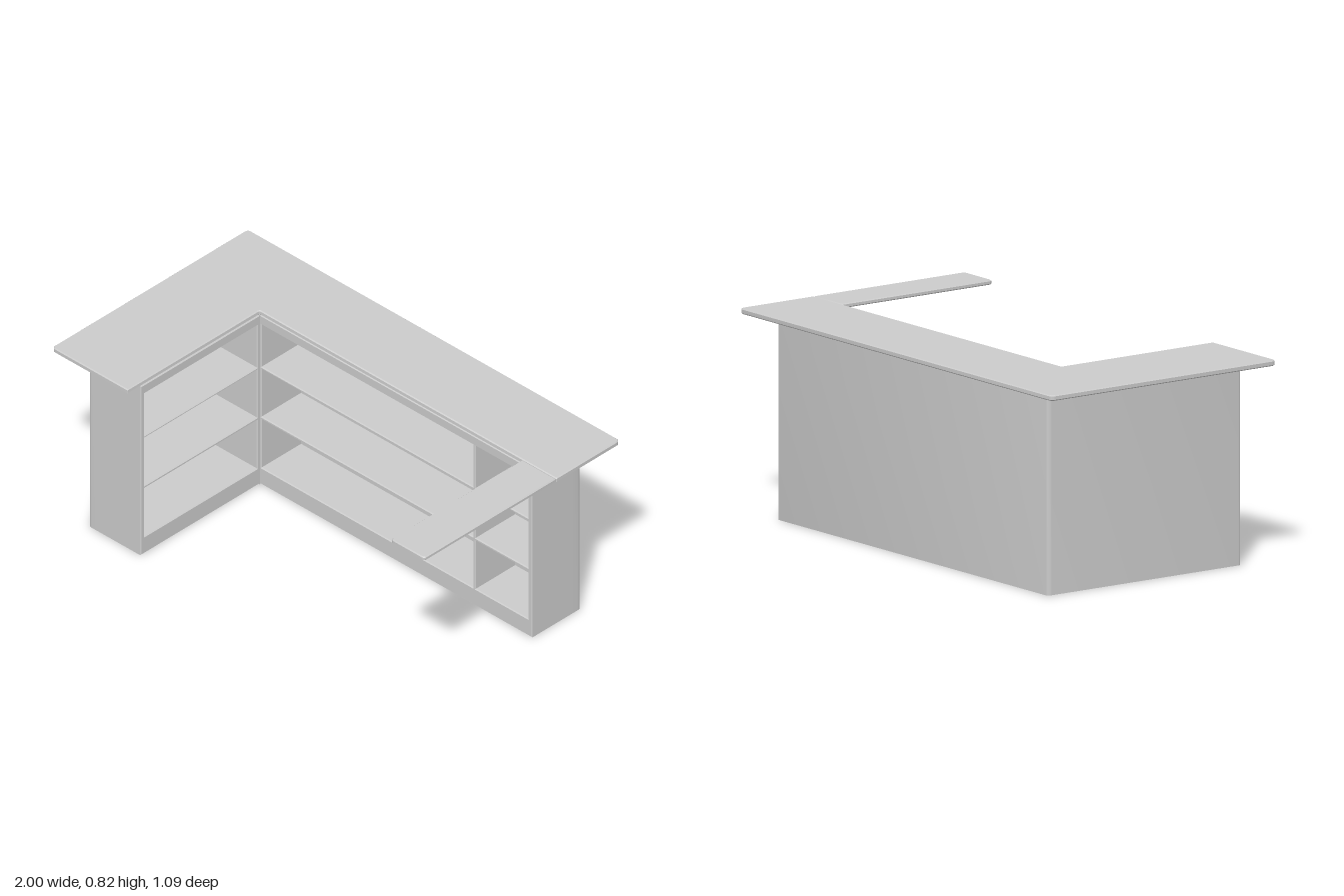
import * as THREE from 'three';
import { toCreasedNormals } from 'three/addons/utils/BufferGeometryUtils.js';

const material = new THREE.MeshStandardMaterial({ color: 0xcccccc });
const ROWS = [[0.08, 0.308], [0.322, 0.547], [0.559, 0.758]]; // shelf openings, bottom to top
const BODY_TOP = 0.802;

// Plan outline from [x, z, cornerRadius] points
function planShape(points) {
  const shape = new THREE.Shape();
  const v = points.map(([x, z]) => new THREE.Vector2(x, -z));
  const n = v.length;
  points.forEach(([, , r = 0], i) => {
    const toward = (other) => v[i].clone().add(other.clone().sub(v[i]).setLength(r));
    const a = r ? toward(v[(i + n - 1) % n]) : v[i];
    const b = r ? toward(v[(i + 1) % n]) : v[i];
    if (i === 0) shape.moveTo(a.x, a.y);
    else shape.lineTo(a.x, a.y);
    if (r) shape.quadraticCurveTo(v[i].x, v[i].y, b.x, b.y);
  });
  shape.closePath();
  return shape;
}

// Extrudes from 'from' to 'to' with a small inward chamfer
function extrude(shape, from, to, bevel) {
  const geometry = new THREE.ExtrudeGeometry(shape, {
    depth: to - from - 2 * bevel,
    bevelEnabled: bevel > 0,
    bevelThickness: bevel,
    bevelSize: bevel,
    bevelOffset: -bevel,
    bevelSegments: 1,
    curveSegments: 5,
  });
  return geometry.translate(0, 0, from + bevel);
}

function slab(name, points, y0, y1, bevel) {
  const geometry = extrude(planShape(points), y0, y1, bevel).rotateX(-Math.PI / 2);
  const mesh = new THREE.Mesh(toCreasedNormals(geometry, 0.5), material);
  mesh.name = name;
  return mesh;
}

// Block of shelves: a face u0..u1 wide with open bays, extruded over its depth
function shelfBlock(u0, u1, bays, from, to) {
  const face = new THREE.Shape();
  face.moveTo(u0, 0).lineTo(u1, 0).lineTo(u1, BODY_TOP).lineTo(u0, BODY_TOP).closePath();
  for (const [a, b] of bays) {
    for (const [y0, y1] of ROWS) {
      const hole = new THREE.Path();
      hole.moveTo(a, y0).lineTo(a, y1).lineTo(b, y1).lineTo(b, y0).closePath();
      face.holes.push(hole);
    }
  }
  return extrude(face, from, to, 0.004);
}

export function createModel() {
  const group = new THREE.Group();
  group.name = 'barCounter';

  // Back and outer walls, with the solid inner corner
  group.add(slab('outerWalls', [
    [-0.87, -0.465, 0.02], [0.87, -0.465, 0.02], [0.87, -0.41], [-0.59, -0.41],
    [-0.59, -0.185], [-0.82, -0.185], [-0.82, 0.47], [-0.87, 0.47, 0.015],
  ], 0, BODY_TOP, 0));

  // Long run of shelves, facing the front
  const run = new THREE.Mesh(
    shelfBlock(-0.595, 0.87, [[-0.583, 0.553], [0.567, 0.848]], -0.414, -0.19), material);
  run.name = 'longShelves';
  group.add(run);

  // Side wing of shelves, facing inward
  const wing = new THREE.Mesh(
    shelfBlock(-0.47, 0.19, [[-0.449, 0.175]], -0.824, -0.59).rotateY(Math.PI / 2), material);
  wing.name = 'wingShelves';
  group.add(wing);

  // L-shaped worktop
  group.add(slab('countertop', [
    [-1, -0.545, 0.02], [1, -0.545, 0.02], [1, -0.191, 0.006], [-0.594, -0.191, 0.01],
    [-0.594, 0.54, 0.004], [-1, 0.54, 0.02],
  ], 0.8, 0.822, 0.004));

  // Hinged flap on the open side
  group.add(slab('counterFlap', [
    [0.82, -0.188, 0.004], [1, -0.188, 0.004], [1, 0.54, 0.015], [0.82, 0.54, 0.015],
  ], 0.804, 0.822, 0.004));

  return group;
}
